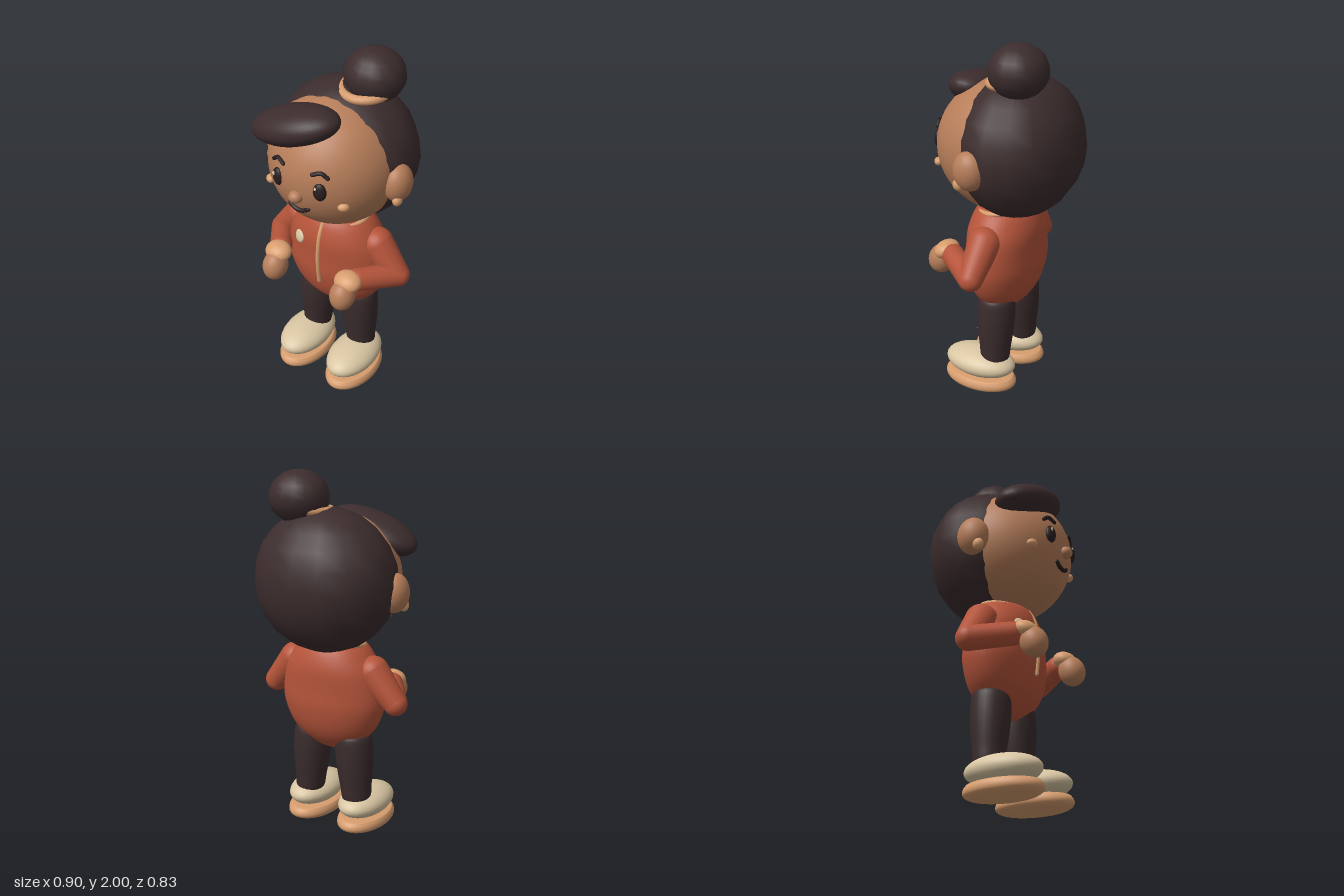
import * as THREE from 'three';
import { mergeVertices } from 'three/addons/utils/BufferGeometryUtils.js';

const V = (x, y, z) => new THREE.Vector3(x, y, z);
const UP = V(0, 1, 0);

export function createModel() {
  const model = new THREE.Group();
  model.name = 'figure';

  const material = (name, color) => {
    const m = new THREE.MeshStandardMaterial({ color });
    m.name = name;
    return m;
  };
  const skin = material('skin', 0xb67d59);
  const hair = material('darkHair', 0x3c2c2d);
  const trousers = material('darkTrousers', 0x3a2b2c);
  const jacket = material('rustJacket', 0xb5543a);
  const trim = material('tanTrim', 0xd79d6e);
  const cream = material('cream', 0xd8c5a2);
  const ink = material('faceInk', 0x2a1e1f);

  function add(name, geometry, mat, position = V(0, 0, 0), parent = model) {
    const mesh = new THREE.Mesh(geometry, mat);
    mesh.name = name;
    mesh.position.copy(position);
    parent.add(mesh);
    return mesh;
  }

  // Ellipsoid from centre and radii
  function blob(name, mat, position, rx, ry, rz, w = 32, h = 22) {
    return add(name, new THREE.SphereGeometry(1, w, h).scale(rx, ry, rz), mat, position);
  }

  // Rounded, tapered limb between two points
  function limb(name, mat, a, b, ra, rb) {
    const length = a.distanceTo(b);
    const points = [];
    for (let i = 0; i <= 8; i++) {
      const t = (i / 8 - 1) * Math.PI / 2;
      points.push(new THREE.Vector2(ra * Math.cos(t), ra * Math.sin(t)));
    }
    for (let i = 0; i <= 8; i++) {
      const t = (i / 8) * Math.PI / 2;
      points.push(new THREE.Vector2(rb * Math.cos(t), length + rb * Math.sin(t)));
    }
    points[0].x = points[points.length - 1].x = 0;
    const mesh = add(name, new THREE.LatheGeometry(points, 28), mat, a);
    mesh.quaternion.setFromUnitVectors(UP, b.clone().sub(a).normalize());
    return mesh;
  }

  // Smooth lathe from a few [radius, height] pairs
  function turned(pairs, samples = 40, segments = 40) {
    const curve = new THREE.SplineCurve(pairs.map(([r, y]) => new THREE.Vector2(r, y)));
    const points = curve.getPoints(samples);
    points.forEach((p) => { p.x = Math.max(p.x, 0); });
    return new THREE.LatheGeometry(points, segments);
  }

  // Round stroke with rounded ends
  function stroke(name, mat, points, radius) {
    const curve = new THREE.CatmullRomCurve3(points);
    add(name, new THREE.TubeGeometry(curve, 20, radius, 8), mat);
    for (const end of [points[0], points[points.length - 1]]) {
      blob(name + 'End', mat, end, radius, radius, radius, 10, 8);
    }
  }

  // Head and hair
  blob('head', skin, V(0, 1.42, 0), 0.36, 0.36, 0.375, 48, 32);
  blob('hairBack', hair, V(0, 1.43, -0.08), 0.4, 0.385, 0.335, 16, 12);
  blob('fringe', hair, V(-0.115, 1.66, 0.21), 0.265, 0.1, 0.155).rotation.z = 0.31;
  blob('hairBun', hair, V(0.125, 1.86, -0.135), 0.162, 0.14, 0.155, 16, 12);
  const tie = add('bunTie', new THREE.TorusGeometry(0.125, 0.024, 10, 32).rotateX(Math.PI / 2),
    trim, V(0.1, 1.795, -0.1));
  tie.rotation.set(0.08, 0, 0.03);

  // Face
  blob('nose', skin, V(0, 1.367, 0.375), 0.038, 0.033, 0.037, 20, 14);
  stroke('mouth', ink, [V(-0.055, 1.295, 0.347), V(-0.03, 1.279, 0.349), V(0, 1.273, 0.35),
    V(0.03, 1.279, 0.349), V(0.055, 1.295, 0.347)], 0.012);
  for (const s of [-1, 1]) {
    blob('eye', ink, V(s * 0.127, 1.427, 0.348), 0.035, 0.05, 0.022, 20, 14).rotation.y = s * 0.3;
    blob('eyeGlint', cream, V(s * 0.127 - 0.014, 1.447, 0.365), 0.009, 0.012, 0.005, 10, 8);
    stroke('eyebrow', ink, [V(s * 0.162, 1.51, 0.328), V(s * 0.13, 1.532, 0.338),
      V(s * 0.087, 1.518, 0.353)], 0.011);
    blob('cheek', trim, V(s * 0.226, 1.34, 0.287), 0.03, 0.022, 0.022, 18, 12).rotation.y = s * 0.65;
    blob('ear', skin, V(s * 0.365, 1.388, 0.008), 0.075, 0.105, 0.088, 24, 16);
    blob('earring', trim, V(s * 0.395, 1.316, 0.055), 0.025, 0.032, 0.032, 14, 10);
  }

  // Jacket body, flattened front to back and fuller at the shoulders
  let body = turned([[0, 0.46], [0.1, 0.485], [0.19, 0.54], [0.255, 0.61], [0.295, 0.7], [0.307, 0.79],
    [0.285, 0.92], [0.24, 1.01], [0.18, 1.08], [0.1, 1.1], [0, 1.1]]);
  const pos = body.attributes.position;
  for (let i = 0; i < pos.count; i++) {
    const k = THREE.MathUtils.smoothstep(pos.getY(i), 0.8, 1.1);
    pos.setZ(i, pos.getZ(i) * (0.63 + 0.15 * k));
  }
  body.deleteAttribute('uv');
  body.deleteAttribute('normal');
  body = mergeVertices(body);
  body.computeVertexNormals();
  add('jacketBody', body, jacket);
  const collar = add('collar', new THREE.TorusGeometry(0.175, 0.014, 10, 40).rotateX(Math.PI / 2),
    trim, V(0, 1.078, 0));
  collar.scale.z = 0.8;
  collar.rotation.x = 0.14;
  stroke('zip', trim, [V(0, 1.06, 0.148), V(0, 1.0, 0.178), V(0, 0.92, 0.194), V(0, 0.8, 0.197),
    V(0, 0.695, 0.187)], 0.012);
  const badge = blob('badge', cream, V(-0.14, 0.93, 0.166), 0.038, 0.038, 0.014, 24, 12);
  badge.rotation.set(-0.25, -0.4, 0);

  for (const s of [-1, 1]) {
    // Arm
    const elbow = V(s * 0.385, 0.79, 0);
    limb('upperArm', jacket, V(s * 0.25, 0.942, -0.003), elbow, 0.09, 0.066);
    limb('forearm', jacket, elbow, V(s * 0.255, 0.825, 0.19), 0.066, 0.062);
    const cuff = blob('cuff', trim, V(s * 0.228, 0.838, 0.248), 0.077, 0.05, 0.066);
    cuff.rotation.x = 0.35;
    const hand = blob('hand', skin, V(s * 0.222, 0.77, 0.288), 0.069, 0.085, 0.073);
    hand.rotation.x = -0.35;

    // Trouser leg, tapering outwards to the ankle
    const leg = add('trouserLeg', turned([[0, 0], [0.072, 0.005], [0.088, 0.1], [0.102, 0.22],
      [0.106, 0.32], [0.098, 0.395], [0.06, 0.412], [0, 0.415]], 32, 28), trousers, V(s * 0.156, 0.17, -0.008));
    leg.rotation.z = s * 0.06;

    // Shoe
    blob('shoeUpper', cream, V(s * 0.165, 0.15, 0.08), 0.132, 0.08, 0.212);
    const sole = add('shoeSole', turned([[0, 0], [0.7, 0.012], [0.93, 0.026], [1, 0.048], [0.95, 0.074],
      [0.8, 0.086], [0, 0.09]], 28, 40), trim, V(s * 0.165, 0, 0.08));
    sole.scale.set(0.138, 1, 0.218);
  }
  return model;
}
